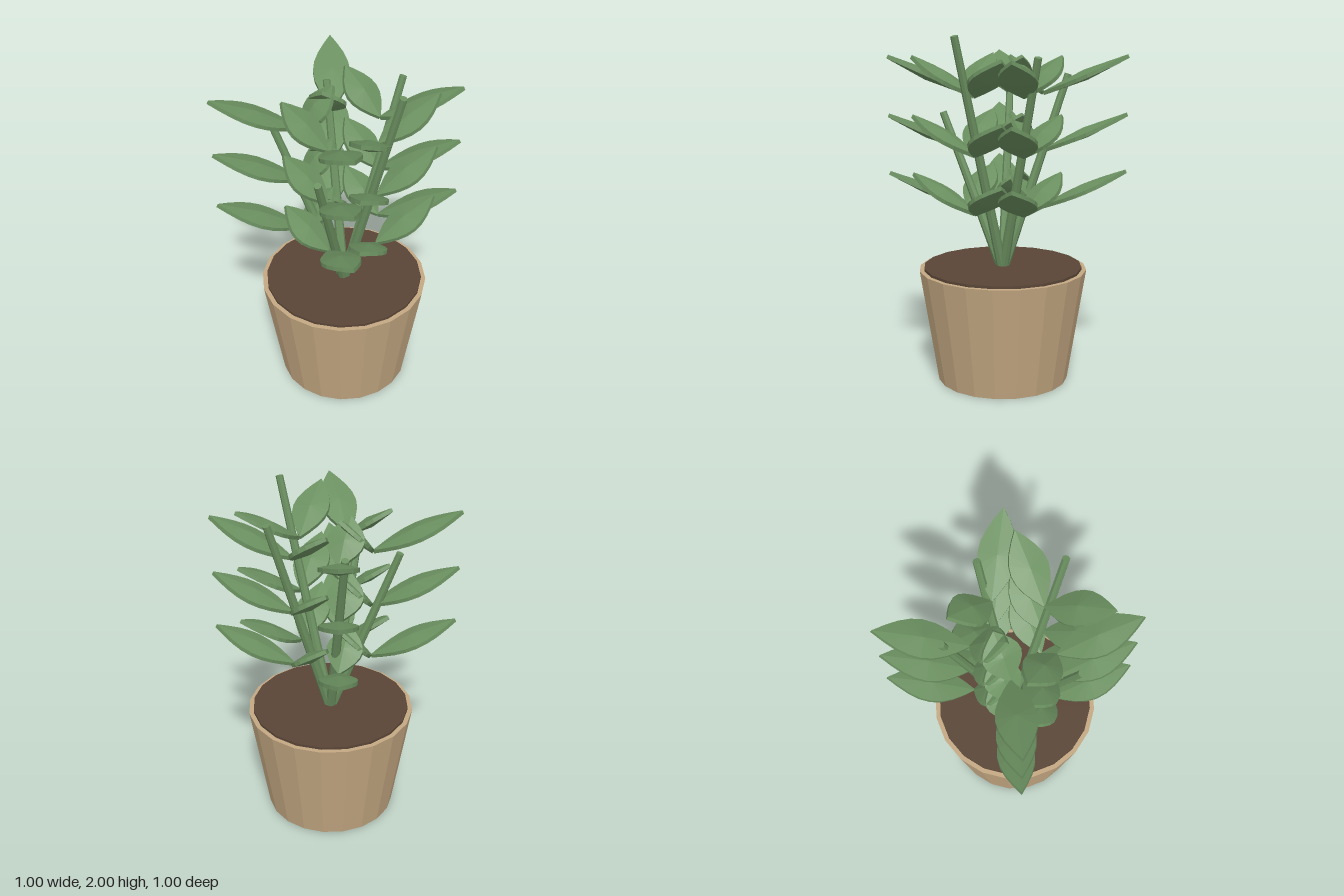
import * as THREE from 'three';

const V = (x, y, z) => new THREE.Vector3(x, y, z);
const CX = 0.01; // pot axis

// Give every triangle its own normal
function faceted(geometry) {
  const g = geometry.index ? geometry.toNonIndexed() : geometry;
  g.computeVertexNormals();
  return g;
}

// Pointed leaf from base to tip: thin rim, ridged above and below
function leafGeometry(base, tip, halfWidth = 0.105, steps = 8) {
  const along = tip.clone().sub(base);
  const dir = along.clone().normalize();
  const side = dir.clone().cross(V(0, 1, 0)).normalize();
  const up = side.clone().cross(dir);
  const at = (t, w, h) => base.clone().addScaledVector(along, t)
    .addScaledVector(side, w).addScaledVector(up, h);

  const count = steps * 2;
  const top = [], bottom = [];
  for (let i = 0; i < count; i++) {
    const t = i <= steps ? i / steps : 2 - i / steps;
    const w = halfWidth * Math.sin(Math.PI * t) * (i <= steps ? 1 : -1);
    top.push(at(t, w, 0.011));
    bottom.push(at(t, w, -0.011));
  }
  const peak = at(0.5, 0, 0.032), keel = at(0.5, 0, -0.03);
  const points = [];
  for (let i = 0; i < count; i++) {
    const j = (i + 1) % count;
    points.push(peak, top[i], top[j]);
    points.push(keel, bottom[j], bottom[i]);
    points.push(top[i], bottom[i], bottom[j], top[i], bottom[j], top[j]);
  }
  return faceted(new THREE.BufferGeometry().setFromPoints(points));
}

export function createModel() {
  const model = new THREE.Group();
  model.name = 'pottedPlant';
  const clay = new THREE.MeshStandardMaterial({ name: 'clay', color: 0xc4a882 });
  const earth = new THREE.MeshStandardMaterial({ name: 'earth', color: 0x594536 });
  const green = new THREE.MeshStandardMaterial({ name: 'green', color: 0x6b9060 });

  const add = (name, geometry, material, parent = model) => {
    const mesh = new THREE.Mesh(geometry, material);
    mesh.name = name;
    parent.add(mesh);
    return mesh;
  };

  // Pot and soil
  add('pot', faceted(new THREE.CylinderGeometry(0.485, 0.38, 0.66, 20)), clay)
    .position.set(CX, 0.33, 0);
  add('soil', faceted(new THREE.CylinderGeometry(0.458, 0.458, 0.03, 20)), earth)
    .position.set(CX, 0.66, 0);

  // Five stems fanning out, each a little shorter than the last
  const stems = new THREE.Group();
  stems.name = 'stems';
  model.add(stems);
  [1.995, 1.885, 1.775, 1.665, 1.55].forEach((height, k) => {
    const a = k * Math.PI * 2 / 5;
    const foot = V(CX, 0.64, 0);
    const end = V(CX + 0.38 * Math.cos(a), height, -0.38 * Math.sin(a));
    const axis = end.clone().sub(foot);
    const stem = add('stem', faceted(new THREE.CylinderGeometry(0.021, 0.03, axis.length(), 8)), green, stems);
    stem.position.copy(foot).add(end).multiplyScalar(0.5);
    stem.quaternion.setFromUnitVectors(V(0, 1, 0), axis.normalize());
  });

  // Three tiers of leaves, mirrored front to back: [base x, base z, tip x, tip z]
  const plan = [
    [0.24, 0, 0.39, 0.34],
    [0.08, 0.223, 0.453, 0.467],
    [0.08, 0.223, -0.2, 0.263],
    [-0.18, 0.138, -0.498, 0.497],
    [-0.18, 0.138, -0.1, -0.05],
  ];
  for (let tier = 0; tier < 3; tier++) {
    const group = new THREE.Group();
    group.name = 'leafTier';
    group.position.y = 1.01 + tier * 0.328;
    model.add(group);
    for (const [bx, bz, tx, tz] of plan) {
      for (const s of [1, -1]) {
        add('leaf', leafGeometry(V(bx, 0, bz * s), V(tx, 0.21, tz * s)), green, group);
      }
    }
  }
  return model;
}
